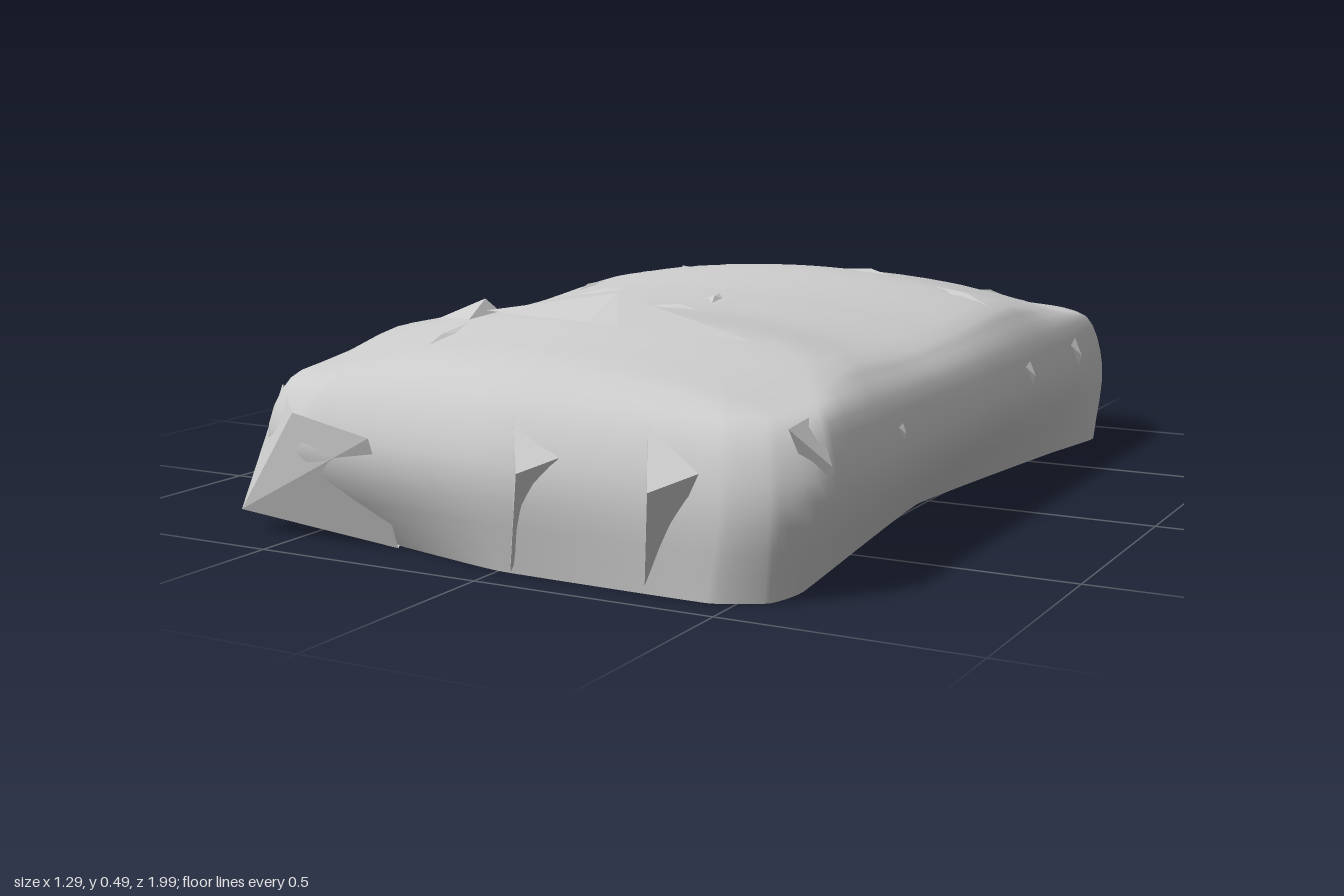
import * as THREE from 'three';

const material = new THREE.MeshStandardMaterial({ color: 0xcccccc });
const sheet = new THREE.MeshStandardMaterial({ color: 0xcccccc, side: THREE.DoubleSide, flatShading: true });
const AROUND = 102;

// Outlines in x, z at the ground and at the widest height, with matching points
const ground = [[-.33, -.94], [.1, -.95], [.5, -.945], [.61, -.84], [.57, -.6], [.49, .04], [.57, .78], [.55, .88],
  [.45, .93], [0, .92], [-.33, .84], [-.57, .78], [-.55, .4], [-.54, 0], [-.57, -.35], [-.57, -.55], [-.55, -.77]];
const waist = [[-.5, -.98], [0, -.985], [.5, -.99], [.615, -.88], [.635, -.6], [.635, 0], [.64, .8], [.57, .9],
  [.48, .935], [0, .955], [-.45, .935], [-.6, .86], [-.62, .5], [-.62, 0], [-.62, -.35], [-.645, -.55], [-.61, -.88]];

// Height of the domed top along the length, falling away to the sides
const ridge = [[-1, .33], [-.8, .39], [-.6, .43], [-.35, .462], [0, .438], [.25, .43], [.52, .45], [.8, .4], [1, .32]];
function topHeight(x, z) {
  let i = 0;
  while (i < ridge.length - 2 && z > ridge[i + 1][0]) i++;
  const [z0, y0] = ridge[i], [z1, y1] = ridge[i + 1];
  const t = THREE.MathUtils.smoothstep(z, z0, z1) * 0.5 + 0.5 * (z - z0) / (z1 - z0);
  return y0 + (y1 - y0) * t - 0.22 * x * x;
}

// Closed outline with nearly straight runs and tight corners
function ring(points, y, scale = 1) {
  const curve = new THREE.CatmullRomCurve3(
    points.map(([x, z]) => new THREE.Vector3(x * scale, y, z * scale)), true, 'catmullrom', 0.15);
  return Array.from({ length: AROUND }, (_, j) => curve.getPoint(j / AROUND));
}

function loft(rings) {
  const pos = [], idx = [];
  rings.forEach(r => r.forEach(p => pos.push(p.x, p.y, p.z)));
  for (let i = 0; i < rings.length - 1; i++) {
    for (let j = 0; j < AROUND; j++) {
      const k = (j + 1) % AROUND;
      const a = i * AROUND + j, b = i * AROUND + k, c = b + AROUND, d = a + AROUND;
      idx.push(a, c, b, a, d, c);
    }
  }
  const g = new THREE.BufferGeometry();
  g.setAttribute('position', new THREE.Float32BufferAttribute(pos, 3));
  g.setIndex(idx);
  g.computeVertexNormals();
  return g;
}

// Pinched cloth: a fan of triangles from a tip to a chain of base points
function pinch(name, tip, ...base) {
  const pos = [];
  for (let i = 0; i < base.length - 1; i++) pos.push(...tip, ...base[i], ...base[i + 1]);
  const g = new THREE.BufferGeometry();
  g.setAttribute('position', new THREE.Float32BufferAttribute(pos, 3));
  g.computeVertexNormals();
  const mesh = new THREE.Mesh(g, sheet);
  mesh.name = name;
  return mesh;
}

export function createModel() {
  const group = new THREE.Group();
  group.name = 'cushion';

  // Stuffed body: bulging sides, rounded shoulder, domed top
  const low = ring(ground, 0.005), mid = ring(waist, 0.19);
  const shoulder = ring(waist, 0.315, 0.95), rim = ring(waist, 0, 0.85);
  rim.forEach(p => { p.y = topHeight(p.x, p.z) - 0.003; });
  const sides = low.map((p, j) => new THREE.CatmullRomCurve3([p, mid[j], shoulder[j], rim[j]]));
  const rings = [];
  for (let i = 0; i <= 12; i++) rings.push(sides.map(c => c.getPoint(i / 12)));
  for (let i = 1; i <= 12; i++) {
    const s = Math.max(1 - i / 12, 0.001);
    rings.push(rim.map(p => new THREE.Vector3(p.x * s, topHeight(p.x * s, p.z * s), p.z * s)));
  }
  const body = new THREE.Mesh(loft(rings), material);
  body.name = 'stuffedBody';
  group.add(body);

  // Flat underside
  const centre = low.map(() => new THREE.Vector3(0, 0.005, 0));
  const underside = new THREE.Mesh(loft([centre, low]), material);
  underside.name = 'underside';
  group.add(underside);

  // Pulled-out front corner
  group.add(pinch('cornerFlap', [-.64, .05, .9], [-.27, .005, .87], [-.27, .24, .955],
    [-.47, .27, .935], [-.59, .3, .82], [-.59, .06, .3], [-.27, .005, .87]));

  // Ridge folds near the front of the top
  group.add(pinch('ridgeFold', [.05, .495, .56], [-.27, .44, .55], [0, .435, .6], [.08, .43, .61],
    [.36, .42, .57], [.06, .445, .52], [-.27, .44, .55]));
  group.add(pinch('ridgeFold', [-.28, .463, .54], [-.48, .385, .51], [-.3, .41, .59], [-.25, .43, .52], [-.48, .385, .51]));

  // Upright creases in the front face
  for (const [x, z] of [[.05, .975], [.34, 1]]) {
    group.add(pinch('frontCrease', [x + .03, .21, z], [x - .02, .005, .925], [x - .02, .31, .91],
      [x + .1, .24, .94], [x - .02, .005, .925]));
  }

  // Small creases along the left wall
  for (const z of [-.62, -.28, .48, .82]) {
    group.add(pinch('sideCrease', [.642, .25, z], [.61, .17, z - .02],
      [.58, .33, z - .07], [.58, .32, z + .05], [.61, .17, z - .02]));
  }

  // Rumples on the shoulder at the right back corner
  for (const [x, z] of [[-.55, -.8], [-.57, -.62], [-.55, -.42]]) {
    group.add(pinch('cornerRumple', [x, .39, z], [x - .04, .3, z + .03], [x + .06, .37, z + .08],
      [x + .07, .37, z - .06], [x - .04, .3, z + .03]));
  }

  // Shallow tucks scattered over the top: x, z and direction
  const tucks = [[.05, -.75, 1.4], [.38, -.74, 1.8], [-.31, -.8, 2.4], [.16, -.4, .2], [-.35, -.02, 0],
    [.03, .1, 1.2], [0, .26, .1], [.43, -.33, .3], [-.47, -.2, 1.5], [-.28, .66, 1.6]];
  for (const [x, z, turn] of tucks) {
    const at = (along, across, lift) => {
      const px = x + Math.cos(turn) * along - Math.sin(turn) * across;
      const pz = z + Math.sin(turn) * along + Math.cos(turn) * across;
      return [px, topHeight(px, pz) + lift, pz];
    };
    group.add(pinch('topTuck', at(.03, 0, .008), at(-.1, 0, -.003), at(0, .025, -.003),
      at(.09, 0, -.003), at(0, -.02, -.003), at(-.1, 0, -.003)));
  }
  return group;
}
